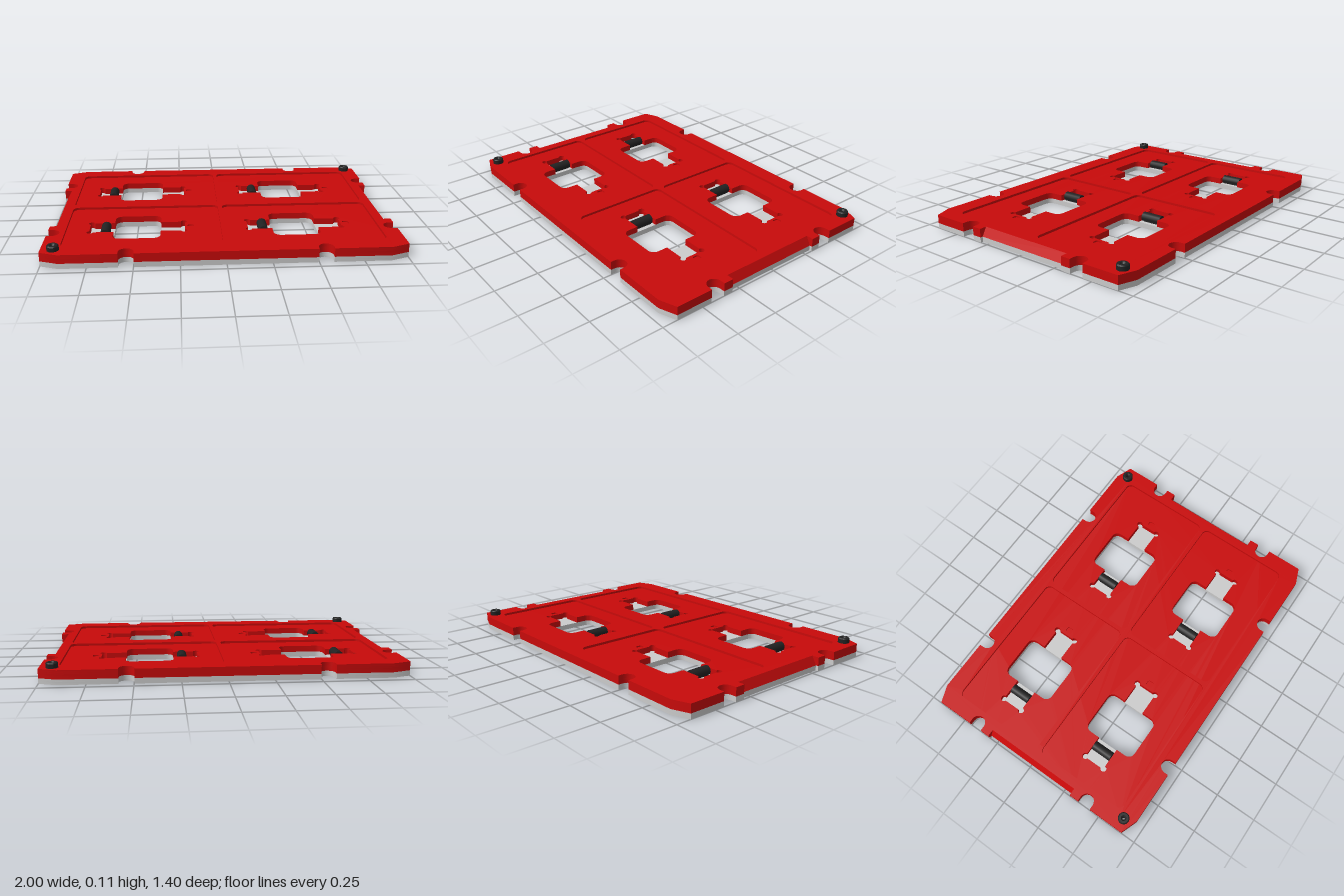
import * as THREE from 'three';
import { toCreasedNormals, mergeGeometries } from 'three/addons/utils/BufferGeometryUtils.js';

const RED = 0xc80a0a, BLACK = 0x222222, GREY = 0xcccccc;
const mat = (color) => new THREE.MeshStandardMaterial({ color });

// points along an arc, angles in degrees
function arc(cx, cy, r, a0, a1, n = 10) {
  return Array.from({ length: n + 1 }, (_, i) => {
    const a = THREE.MathUtils.degToRad(a0 + (a1 - a0) * i / n);
    return [cx + r * Math.cos(a), cy + r * Math.sin(a)];
  });
}

// mirror a first-quadrant run of points into a closed loop
function fourWay(q, cx = 0, cy = 0) {
  const rev = [...q].reverse();
  return [
    ...q,
    ...rev.map(([x, y]) => [-x, y]),
    ...q.map(([x, y]) => [-x, -y]),
    ...rev.map(([x, y]) => [x, -y]),
  ].map(([x, y]) => new THREE.Vector2(x + cx, y + cy));
}

const roundRect = (cx, cy, hw, hh, r) => fourWay(arc(hw - r, hh - r, r, 0, 90, 6), cx, cy);
const circle = (cx, cy, r) => fourWay(arc(0, 0, r, 4, 86, 4), cx, cy);

// plate outline with edge notches, clipped corners and inset sides
const outline = (inset) => fourWay([
  [inset, 0.3], [1, 0.3], [1, 0.358],
  ...arc(0.972, 0.4, 0.042, 270, 90),
  [1, 0.442], [1, 0.662], [0.9, 0.7], [0.582, 0.7],
  ...arc(0.54, 0.675, 0.042, 0, -180),
  [0.498, 0.7],
]);

// extrude an outline with holes between two heights
function slab(points, holes, y0, y1) {
  const shape = new THREE.Shape(points);
  shape.holes = holes.map((h) => new THREE.Path(h));
  const g = new THREE.ExtrudeGeometry(shape, { depth: y1 - y0, bevelEnabled: false });
  g.rotateX(-Math.PI / 2).translate(0, y0, 0);
  return toCreasedNormals(g, 0.6);
}

export function createModel() {
  const model = new THREE.Group();
  const add = (name, geometry, color, parent = model) => {
    const mesh = new THREE.Mesh(geometry, mat(color));
    mesh.name = name;
    parent.add(mesh);
    return mesh;
  };

  // stations: window centres; pockets: recess centres (shape y = -z)
  const stations = [], pockets = [], corners = [];
  for (const sx of [-1, 1]) for (const sy of [-1, 1]) {
    stations.push([sx < 0 ? -0.495 : 0.42, sy * 0.305]);
    pockets.push([sx * 0.457, sy > 0 ? 0.31 : -0.3]);
    corners.push([sx, sy]);
  }
  const pinSpots = [[0.93, 0.635], [-0.93, -0.63]];

  // grey base: thin sheet above a sheet carrying the blind holes
  const windows = stations.map(([x, y]) => roundRect(x, y, 0.135, 0.165, 0.04));
  const cornerHoles = corners.map(([sx, sy]) => circle(sx * 0.93, sy * 0.63, 0.026));
  const blind = [circle(0, 0, 0.022)];
  for (const [sx, sy] of corners) {
    blind.push(circle(sx * 0.93, sy * 0.53, 0.02), circle(sx * 0.83, sy * 0.63, 0.02));
  }
  for (const [x, y] of stations) {
    for (const d of [-0.05, 0.05]) blind.push(circle(x - 0.19, y + d, 0.014));
  }
  const base = outline(0.985);
  add('basePlate', mergeGeometries([
    slab(base, [...windows, ...cornerHoles, ...blind], 0, 0.018),
    slab(base, [...windows, ...cornerHoles], 0.018, 0.03),
  ]), GREY);

  // red tray: slotted body, grooved pocket floor, rim around the pockets
  const cutouts = stations.map(([x, y]) => fourWay([
    [0.275, 0.048],
    ...arc(0.27, 0.065, 0.018, -70, 180),
    [0.135, 0.065],
    ...arc(0.095, 0.125, 0.04, 0, 90, 6),
  ], x, y));
  const grooves = stations.map(([x, y]) => roundRect(x + 0.309, y, 0.018, 0.02, 0.01));
  const pinHoles = pinSpots.map(([x, y]) => circle(x, y, 0.02));
  const pocketHoles = pockets.map(([x, y]) => roundRect(x, y, 0.444, 0.29, 0.035));
  const tray = outline(0.95);
  add('trayBody', slab(tray, [...cutouts, ...pinHoles], 0.03, 0.058), RED);
  add('pocketFloor', slab(tray, [...cutouts, ...grooves, ...pinHoles], 0.058, 0.066), RED);
  add('pocketRim', slab(tray, [...pocketHoles, ...pinHoles], 0.066, 0.08), RED);

  // sloping grips along both short sides
  for (const side of [-1, 1]) {
    const section = new THREE.Shape([[0.95, 0.03], [0.985, 0.03], [0.957, 0.08], [0.95, 0.08]]
      .map(([x, y]) => new THREE.Vector2(x, y)));
    const grip = new THREE.ExtrudeGeometry(section, { depth: 0.6, bevelEnabled: false });
    grip.translate(0, 0, -0.3);
    if (side < 0) grip.rotateY(Math.PI);
    add(side > 0 ? 'leftGrip' : 'rightGrip', grip, RED);
  }

  // hollow locating pins on opposite corners
  const pinProfile = [[0.008, 0.03], [0.02, 0.03], [0.02, 0.08], [0.033, 0.08], [0.033, 0.104],
    [0.028, 0.11], [0.016, 0.11], [0.008, 0.1], [0.008, 0.03]].map(([x, y]) => new THREE.Vector2(x, y));
  for (const [x, y] of pinSpots) {
    const pin = toCreasedNormals(new THREE.LatheGeometry(pinProfile, 24).toNonIndexed(), 0.6);
    add('locatingPin', pin, BLACK).position.set(x, 0, -y);
  }

  // spring rollers beside each window
  for (const [x, y] of stations) {
    const clip = new THREE.Group();
    clip.name = 'springRoller';
    clip.position.set(x - 0.185, 0, -y);
    const roller = new THREE.CylinderGeometry(0.028, 0.028, 0.124, 16).rotateX(Math.PI / 2);
    add('roller', roller, BLACK, clip).position.y = 0.05;
    add('rollerFoot', new THREE.BoxGeometry(0.05, 0.018, 0.1), BLACK, clip).position.y = 0.036;
    model.add(clip);
  }
  return model;
}
